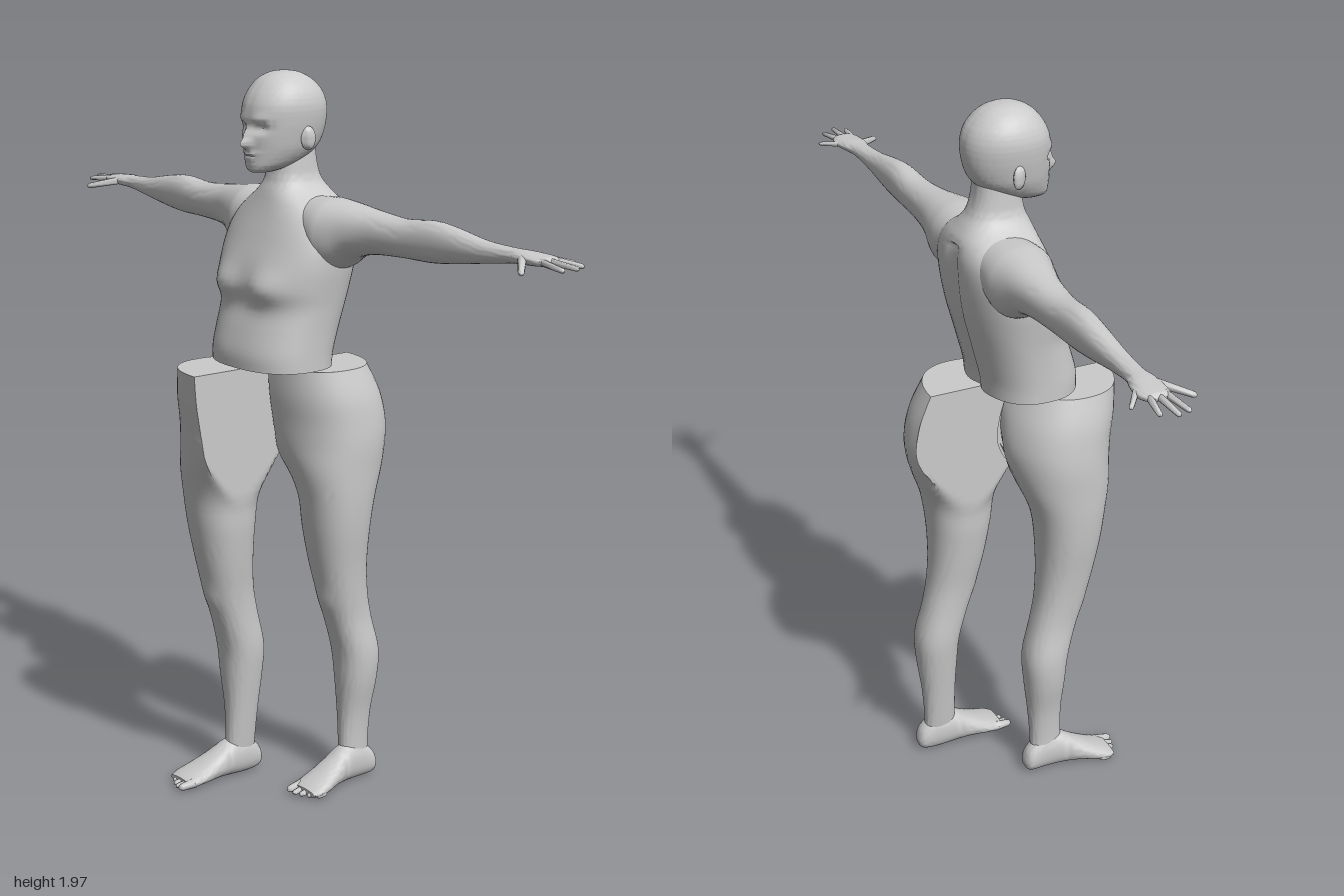
import * as THREE from 'three';
import { toCreasedNormals } from 'three/addons/utils/BufferGeometryUtils.js';

const skin = new THREE.MeshStandardMaterial({ color: 0xcccccc });
const gauss = (a, b = 0) => Math.exp(-a * a - b * b);
const vec = (x, y, z) => new THREE.Vector3(x, y, z);

// Catmull-Rom value between b and c
const spline = (a, b, c, d, t) =>
  0.5 * (2 * b + (c - a) * t + (2 * a - 5 * b + 4 * c - d) * t * t + (3 * b - a - 3 * c + d) * t * t * t);

// Smooth capped skin through sections [t, uMin, uMax, vMin, vMax];
// place(t, u, v) gives the point, mod(point) sculpts it
function loft(sections, place, { sides = 32, steps = 4, power = 0.9, mod = () => {} } = {}) {
  const rows = [];
  const at = (i) => sections[Math.min(Math.max(i, 0), sections.length - 1)];
  for (let i = 0; i < sections.length - 1; i++)
    for (let k = 0; k < steps; k++)
      rows.push(at(i).map((b, c) => spline(at(i - 1)[c], b, at(i + 1)[c], at(i + 2)[c], k / steps)));
  rows.push(at(sections.length - 1));
  const pos = [], index = [];
  const push = (p) => { mod(p); pos.push(p.x, p.y, p.z); };
  const bend = (s) => Math.sign(s) * Math.abs(s) ** power;
  for (const [t, u0, u1, v0, v1] of rows)
    for (let j = 0; j < sides; j++) {
      const a = (j / sides) * Math.PI * 2;
      push(place(t, (u0 + u1) / 2 + ((u1 - u0) / 2) * bend(Math.cos(a)),
        (v0 + v1) / 2 + ((v1 - v0) / 2) * bend(Math.sin(a))));
    }
  for (const [t, u0, u1, v0, v1] of [rows[0], rows[rows.length - 1]]) push(place(t, (u0 + u1) / 2, (v0 + v1) / 2));
  const last = (rows.length - 1) * sides, cap = rows.length * sides;
  for (let j = 0; j < sides; j++) {
    const n = (j + 1) % sides;
    for (let r = 0; r < last; r += sides)
      index.push(r + j, r + sides + j, r + n, r + n, r + sides + j, r + sides + n);
    index.push(cap, j, n, cap + 1, last + n, last + j);
  }
  const g = new THREE.BufferGeometry();
  g.setAttribute('position', new THREE.Float32BufferAttribute(pos, 3));
  g.setIndex(index);
  return g;
}

// Rounded finger or toe between two points
function digit(from, to, radius, flat = 1) {
  const d = to.clone().sub(from), len = d.length();
  const g = new THREE.CapsuleGeometry(radius, len - radius, 4, 10);
  const p = g.attributes.position;
  for (let i = 0; i < p.count; i++) {
    const k = 1 - 0.3 * (p.getY(i) / len + 0.5);
    p.setXYZ(i, p.getX(i) * k, p.getY(i), p.getZ(i) * k);
  }
  g.applyQuaternion(new THREE.Quaternion().setFromUnitVectors(vec(0, 1, 0), d.normalize()));
  g.scale(1, flat, 1);
  const mid = from.clone().add(to).multiplyScalar(0.5);
  return g.translate(mid.x, mid.y, mid.z);
}

function mirror(geometry) {
  const g = geometry.clone().scale(-1, 1, 1), ix = g.index;
  for (let i = 0; i < ix.count; i += 3) {
    const a = ix.getX(i);
    ix.setX(i, ix.getX(i + 1));
    ix.setX(i + 1, a);
  }
  return g;
}

function add(group, name, geometry, side = 1) {
  geometry.deleteAttribute('uv');
  const mesh = new THREE.Mesh(toCreasedNormals(side < 0 ? mirror(geometry) : geometry, 0.9), skin);
  mesh.name = name;
  group.add(mesh);
}

const upright = (t, u, v) => vec(u, t, v);
const sideways = (t, u, v) => vec(t, v, u);
const forward = (t, u, v) => vec(v, u, t);
const even = ([y, w, z0, z1]) => [y, -w, w, z0, z1];

function buildTorso() {
  return loft([
    [1.208, 0.176, -0.1, 0.158], [1.25, 0.177, -0.105, 0.157], [1.31, 0.18, -0.12, 0.14],
    [1.37, 0.186, -0.135, 0.12], [1.42, 0.194, -0.148, 0.122], [1.48, 0.203, -0.158, 0.113],
    [1.54, 0.203, -0.163, 0.09], [1.59, 0.18, -0.163, 0.07], [1.63, 0.135, -0.153, 0.055],
    [1.66, 0.088, -0.135, 0.045], [1.69, 0.064, -0.115, 0.033], [1.73, 0.058, -0.102, 0.026],
    [1.78, 0.055, -0.095, 0.02],
  ].map(even), upright, {
    sides: 56, power: 0.82,
    mod: (p) => {
      if (p.z > 0) p.z += 0.024 * gauss((Math.abs(p.x) - 0.085) / 0.065, (p.y - 1.42) / 0.045);
      else if (p.y < 1.62) p.z += 0.014 * gauss(p.x / 0.025);
    },
  });
}

function buildHead() {
  return loft([
    [1.712, 0.022, 0.03, 0.092], [1.722, 0.042, -0.01, 0.101], [1.74, 0.06, -0.06, 0.102],
    [1.77, 0.077, -0.1, 0.102], [1.8, 0.086, -0.118, 0.104], [1.84, 0.094, -0.127, 0.104],
    [1.88, 0.097, -0.126, 0.1], [1.915, 0.088, -0.112, 0.084], [1.945, 0.066, -0.083, 0.058],
    [1.962, 0.036, -0.05, 0.026], [1.967, 0.008, -0.02, -0.004],
  ].map(even), upright, {
    sides: 72, steps: 6, power: 0.94,
    mod: (p) => {
      if (p.z < 0.03) return;
      const x = Math.abs(p.x), y = p.y;
      p.z += 0.026 * gauss(x / 0.014, (y - 1.785) / 0.014) + 0.014 * gauss(x / 0.012, (y - 1.81) / 0.018) // nose
        - 0.014 * gauss((x - 0.036) / 0.02, (y - 1.826) / 0.012)   // eye sockets
        + 0.005 * gauss((x - 0.035) / 0.025, (y - 1.85) / 0.01)    // brow
        + 0.007 * gauss(x / 0.026, (y - 1.76) / 0.006) + 0.006 * gauss(x / 0.022, (y - 1.747) / 0.005) // lips
        - 0.004 * gauss(x / 0.03, (y - 1.753) / 0.003);            // mouth line
    },
  });
}

// Sections run [x, zMin, zMax, yMin, yMax] from inside the shoulder to the knuckles
const armSections = [
  [0.09, -0.14, 0.03, 1.51, 1.65], [0.16, -0.145, 0.04, 1.475, 1.653], [0.2, -0.14, 0.03, 1.475, 1.65],
  [0.25, -0.13, 0.01, 1.508, 1.644], [0.32, -0.12, -0.01, 1.525, 1.635], [0.42, -0.112, -0.022, 1.531, 1.628],
  [0.52, -0.108, -0.03, 1.532, 1.636], [0.6, -0.105, -0.036, 1.54, 1.628], [0.7, -0.1, -0.044, 1.555, 1.611],
  [0.79, -0.103, -0.051, 1.568, 1.605], [0.83, -0.115, -0.045, 1.571, 1.604], [0.88, -0.125, -0.045, 1.573, 1.6],
  [0.91, -0.115, -0.052, 1.577, 1.597], [0.918, -0.105, -0.062, 1.581, 1.593],
];
const fingers = {
  thumb: [0.84, -0.058, 0.907, 0.01, 1.57, 0.011], indexFinger: [0.895, -0.062, 0.983, -0.048, 1.58, 0.009],
  middleFinger: [0.9, -0.082, 0.996, -0.081, 1.583, 0.009], ringFinger: [0.895, -0.102, 0.976, -0.118, 1.582, 0.009],
  littleFinger: [0.86, -0.112, 0.914, -0.155, 1.578, 0.008],
};

// Sections run [y, xMin, xMax, zMin, zMax]; the hip half is cut flat at the middle
const legSections = [
  [0.04, 0.088, 0.142, -0.105, -0.01], [0.1, 0.08, 0.14, -0.102, -0.012], [0.2, 0.068, 0.148, -0.108, -0.012],
  [0.3, 0.055, 0.168, -0.119, -0.006], [0.385, 0.046, 0.175, -0.122, 0.002], [0.48, 0.045, 0.168, -0.1, 0.028],
  [0.56, 0.04, 0.172, -0.084, 0.053], [0.65, 0.027, 0.182, -0.077, 0.075], [0.75, 0.014, 0.197, -0.08, 0.093],
  [0.84, 0.004, 0.206, -0.094, 0.105], [0.92, -0.05, 0.21, -0.125, 0.122], [0.99, -0.17, 0.213, -0.153, 0.136],
  [1.05, -0.208, 0.21, -0.16, 0.145], [1.12, -0.2, 0.201, -0.145, 0.156], [1.197, -0.178, 0.178, -0.11, 0.162],
];
const footSections = [
  [-0.125, 0.02, 0.045, 0.1, 0.128], [-0.112, 0.004, 0.075, 0.087, 0.143], [-0.07, 0, 0.11, 0.08, 0.145],
  [-0.02, 0.002, 0.108, 0.078, 0.152], [0.03, 0.004, 0.078, 0.076, 0.165], [0.08, 0.002, 0.05, 0.075, 0.18],
  [0.115, 0.002, 0.034, 0.078, 0.184], [0.135, 0.006, 0.024, 0.086, 0.176],
];

export function createModel() {
  const model = new THREE.Group();
  model.name = 'figure';
  add(model, 'torso', buildTorso());
  add(model, 'head', buildHead());

  for (const side of [1, -1]) {
    const label = side > 0 ? 'left' : 'right';
    const ear = new THREE.SphereGeometry(1, 16, 12).scale(0.01, 0.031, 0.02).rotateY(-0.35).translate(0.093, 1.8, -0.018);
    add(model, label + 'Ear', ear, side);

    // Arm and spread hand
    const arm = new THREE.Group();
    arm.name = label + 'Arm';
    add(arm, 'armAndPalm', loft(armSections, sideways), side);
    for (const [name, [x0, z0, x1, z1, y, r]] of Object.entries(fingers))
      add(arm, name, digit(vec(x0, 1.588, z0), vec(x1, y, z1), r), side);
    model.add(arm);

    // Hip half, leg and foot, slid along the middle cut
    const leg = new THREE.Group();
    leg.name = label + 'Leg';
    leg.position.z = -0.115 * side;
    add(leg, 'hipAndLeg', loft(legSections, upright, {
      sides: 48, power: 0.87,
      mod: (p) => {
        if (p.z < -0.03) p.z += 0.022 * gauss(p.x / 0.035, (p.y - 1.0) / 0.1);
        if (p.z > 0) p.z += 0.008 * gauss((p.x - 0.105) / 0.03, (p.y - 0.54) / 0.035);
        p.x = Math.max(p.x, 0.006);
      },
    }), side);
    add(leg, 'foot', loft(footSections, forward), side);
    for (let i = 0; i < 5; i++) {
      const x = 0.092 + 0.02 * i, r = i ? 0.0105 : 0.014;
      add(leg, 'toe', digit(vec(x, r + 0.003, 0.11 - 0.004 * i), vec(x + 0.004, r, 0.158 - 0.003 * i * i * 0.8), r), side);
    }
    model.add(leg);
  }
  return model;
}
